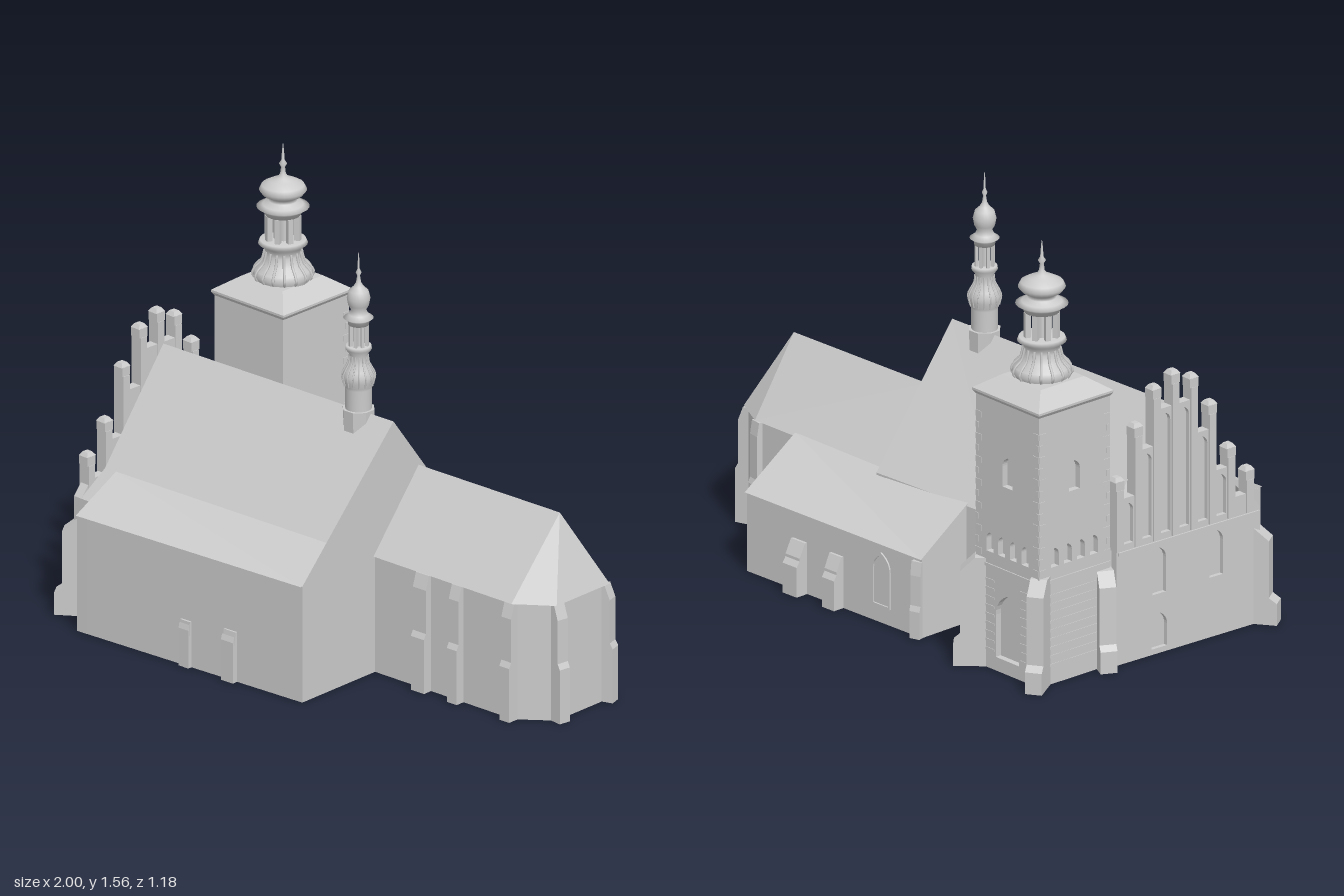
import * as THREE from 'three';

const smooth = new THREE.MeshStandardMaterial({ color: 0xcccccc, side: THREE.DoubleSide });
const flat = new THREE.MeshStandardMaterial({ color: 0xcccccc, side: THREE.DoubleSide, flatShading: true });

function add(parent, name, geo, x = 0, y = 0, z = 0, ry = 0, mat = flat) {
  const m = new THREE.Mesh(geo, mat);
  m.name = name;
  m.position.set(x, y, z);
  m.rotation.y = ry;
  parent.add(m);
  return m;
}
function group(parent, name, x = 0, y = 0, z = 0, ry = 0) {
  const g = new THREE.Group();
  g.name = name;
  g.position.set(x, y, z);
  g.rotation.y = ry;
  parent.add(g);
  return g;
}
const box = (w, h, d) => new THREE.BoxGeometry(w, h, d);
const extrude = (shape, depth) => new THREE.ExtrudeGeometry(shape, { depth, bevelEnabled: false, curveSegments: 6 });
const shapeOf = pts => new THREE.Shape(pts.map(p => new THREE.Vector2(p[0], p[1])));

// Pointed arch outline: centre x, sill y, width, total height
function arch(x, y, w, h) {
  const p = new THREE.Path(), s = y + h - w * 0.7;
  p.moveTo(x - w / 2, y);
  p.lineTo(x + w / 2, y);
  p.lineTo(x + w / 2, s);
  p.quadraticCurveTo(x + w / 2, s + w * 0.45, x, y + h);
  p.quadraticCurveTo(x - w / 2, s + w * 0.45, x - w / 2, s);
  p.closePath();
  return p;
}
// Upright slab with arched openings
function panel(pts, holes, depth) {
  const s = shapeOf(pts);
  s.holes = holes.map(h => arch(...h));
  return extrude(s, depth);
}
const rect = (w, h) => [[-w / 2, 0], [w / 2, 0], [w / 2, h], [-w / 2, h]];

// Wall on piers: arched openings that reach the ground
function arcade(w, h, centres, ow, oh, depth) {
  const pts = [new THREE.Vector2(-w / 2, 0)];
  for (const c of centres) pts.push(...arch(c, 0, ow, oh).getPoints(6).reverse().slice(0, -1));
  pts.push(new THREE.Vector2(w / 2, 0), new THREE.Vector2(w / 2, h), new THREE.Vector2(-w / 2, h));
  return extrude(new THREE.Shape(pts), depth);
}

// Surfaces from planar polygons, each fanned into triangles
function faces(polys) {
  const v = [];
  for (const p of polys)
    for (let i = 1; i < p.length - 1; i++) v.push(...p[0], ...p[i], ...p[i + 1]);
  const g = new THREE.BufferGeometry();
  g.setAttribute('position', new THREE.Float32BufferAttribute(v, 3));
  g.computeVertexNormals();
  return g;
}
// Hollow walls inside a plan outline of [x, z] points, with a ceiling
function walls(parent, name, plan, h, t = 0.045) {
  const g = group(parent, name);
  plan.forEach(([x0, z0], i) => {
    const [x1, z1] = plan[(i + 1) % plan.length];
    const L = Math.hypot(x1 - x0, z1 - z0), nx = -(z1 - z0) / L, nz = (x1 - x0) / L;
    add(g, 'wall', box(L, h, t), (x0 + x1) / 2 + nx * t / 2, h / 2, (z0 + z1) / 2 + nz * t / 2, -Math.atan2(z1 - z0, x1 - x0));
  });
  const c = new THREE.ShapeGeometry(shapeOf(plan.map(([x, z]) => [x, -z]))).rotateX(-Math.PI / 2);
  add(g, 'ceiling', c, 0, h - 0.01, 0);
}
// Stepped buttress projecting from (x, z) towards (dx, dz)
function buttress(parent, x, z, dx, dz, w, D, step, top) {
  const d = D * 0.72;
  const s = shapeOf([[-0.04, 0], [D, 0], [D, step], [d, step + 0.02], [d, top - 0.05], [0.01, top], [-0.04, top]]);
  add(parent, 'buttress', extrude(s, w).translate(0, 0, -w / 2), x, 0, z, Math.atan2(-dz, dx));
}
const lathe = (pts, n = 24) => new THREE.LatheGeometry(pts.map(p => new THREE.Vector2(p[0], p[1])), n);

// Lantern spire: ribbed bulb, ring of columns, onion and finial
function spire(parent, name, x, z, lower, upper, ribs, cols) {
  const g = group(parent, name, x, 0, z);
  add(g, 'ribbedBulb', lathe(lower), 0, 0, 0, 0, smooth);
  add(g, 'onionAndFinial', lathe(upper), 0, 0, 0, 0, smooth);
  const [y0, y1, r] = cols;
  add(g, 'lanternCore', new THREE.CylinderGeometry(r * 0.5, r * 0.5, y1 - y0, 8), 0, (y0 + y1) / 2, 0);
  for (let i = 0; i < 8; i++) {
    const a = (i + 0.5) * Math.PI / 4;
    add(g, 'lanternColumn', box(r * 0.3, y1 - y0, r * 0.3), r * 0.84 * Math.cos(a), (y0 + y1) / 2, r * 0.84 * Math.sin(a), -a);
  }
  const curve = new THREE.CatmullRomCurve3(ribs.map(([q, y]) => new THREE.Vector3(q, y, 0)));
  const rib = new THREE.TubeGeometry(curve, 10, r * 0.08, 5);
  for (let i = 0; i < 16; i++) add(g, 'bulbRib', rib, 0, 0, 0, i * Math.PI / 8, smooth);
}

export function createModel() {
  const model = new THREE.Group();
  model.name = 'church';

  // Nave with south aisle
  walls(model, 'naveWalls', [[0.2, 0.55], [-0.81, 0.58], [-0.81, 0.46], [-0.9, 0.46], [-0.86, -0.19], [-0.53, -0.19],
    [-0.5, -0.25], [-0.4, -0.27], [0.2, -0.28]], 0.43);
  const W = [-0.86, 0.9, 0.08], E = [0.2, 0.9, 0.08];
  add(model, 'naveRoof', faces([
    [W, [-0.86, 0.53, 0.38], [0.2, 0.53, 0.38], E],
    [[-0.86, 0.53, 0.38], [-0.9, 0.43, 0.46], [-0.81, 0.43, 0.46], [-0.81, 0.53, 0.38]],
    [[-0.81, 0.53, 0.38], [-0.81, 0.43, 0.588], [0.2, 0.43, 0.557], [0.2, 0.53, 0.38]],
    [[-0.81, 0.53, 0.38], [-0.81, 0.43, 0.46], [-0.81, 0.43, 0.588]],
    [E, [0.2, 0.43, -0.28], [-0.4, 0.43, -0.27], [-0.53, 0.47, -0.24], [-0.56, 0.55, -0.18], [-0.86, 0.55, -0.18], W],
    [E, [0.2, 0.53, 0.38], [0.2, 0.43, 0.55], [0.2, 0.43, -0.28]],
  ]));
  add(model, 'aisleArcade', arcade(1.0, 0.42, [-0.33, 0, 0.33], 0.25, 0.36, 0.05), -0.31, 0, 0.36);
  add(model, 'chancelArch', arcade(0.4, 0.42, [0], 0.26, 0.38, 0.05), 0.1, 0, -0.03, Math.PI / 2);
  for (const x of [-0.5, -0.16]) {
    add(model, 'aisleTransverseArch', arcade(0.15, 0.42, [0], 0.1, 0.32, 0.04), x, 0, 0.47, Math.PI / 2);
    add(model, 'naveTransverseArch', arcade(0.58, 0.42, [0], 0.42, 0.39, 0.04), x, 0, 0.07, Math.PI / 2);
  }
  buttress(model, -0.32, 0.563, 0, 1, 0.045, 0.018, 0.14, 0.17);
  buttress(model, -0.12, 0.556, 0, 1, 0.055, 0.025, 0.15, 0.185);

  // Choir with polygonal apse
  const plan = [[0.2, -0.25], [0.84, -0.24], [0.96, -0.17], [0.96, 0.09], [0.84, 0.18], [0.2, 0.175]];
  walls(model, 'choirWalls', plan, 0.43);
  const eave = plan.map(([x, z]) => [x + (x > 0.9 ? 0.008 : 0), 0.43, z + (z > 0 ? 0.008 : -0.005)]);
  const A = [0.85, 0.7, -0.05], B = [0.19, 0.7, -0.05];
  add(model, 'choirRoof', faces([[B, A, eave[1], eave[0]], [A, eave[2], eave[1]], [A, eave[3], eave[2]],
    [A, eave[4], eave[3]], [A, B, eave[5], eave[4]]]));
  for (const [x, w] of [[0.43, 0.06], [0.588, 0.045], [0.83, 0.045]]) buttress(model, x, 0.178, 0, 1, w, 0.036, 0.2, 0.43);
  buttress(model, 0.955, 0.08, 1, 0.15, 0.045, 0.04, 0.2, 0.43);
  buttress(model, 0.955, -0.165, 1, -0.3, 0.045, 0.04, 0.2, 0.43);
  buttress(model, 0.83, -0.24, 0.2, -1, 0.045, 0.025, 0.2, 0.43);

  // North sacristy under a lean-to roof
  walls(model, 'sacristyWalls', [[-0.24, -0.485], [0.63, -0.485], [0.64, -0.24], [-0.24, -0.26]], 0.29);
  const s = [[-0.24, 0.29, -0.49], [0.635, 0.29, -0.49], [0.645, 0.44, -0.24], [-0.24, 0.44, -0.265]];
  add(model, 'sacristyRoof', faces([s, [s[0], s[3], [-0.24, 0.29, -0.265]], [s[1], s[2], [0.64, 0.29, -0.24]]]));
  for (const x of [0.08, 0.3]) add(model, 'sacristyPartition', arcade(0.2, 0.28, [0], 0.09, 0.2, 0.04), x, 0, -0.375, Math.PI / 2);
  buttress(model, 0.18, -0.485, 0, -1, 0.06, 0.045, 0.11, 0.19);
  buttress(model, 0.365, -0.485, 0, -1, 0.07, 0.05, 0.11, 0.19);
  buttress(model, -0.22, -0.485, -0.3, -1, 0.04, 0.025, 0.1, 0.28);
  const frame = new THREE.Shape(arch(0, 0, 0.09, 0.2).getPoints(6));
  frame.holes = [arch(0, 0.008, 0.074, 0.182)];
  add(model, 'sacristyWindowFrame', extrude(frame, 0.008), -0.04, 0.06, -0.491);

  // Stepped west gable; local x runs south along the front
  const west = group(model, 'westGable', -0.895, 0, 0.14, -(Math.PI / 2 + 0.07));
  const pier = i => 0.083 * i - 0.06;
  const tops = [1.02, 0.985, 0.865, 0.685, 0.58], step = [0.9, 0.77, 0.61, 0.49];
  const prof = [[0.32, 0], [-0.32, 0], [-0.32, 0.49]];
  const niches = [];
  for (let i = -3; i < 4; i++) {
    const h = step[i < 0 ? -i - 1 : i];
    prof.push([pier(i), h], [pier(i + 1), h]);
    niches.push([pier(i) + 0.0415, 0.44, 0.042, h - 0.46]);
  }
  prof.push([0.32, 0.43]);
  const openings = [[-0.13, 0.22, 0.06, 0.17], [-0.13, 0.02, 0.07, 0.13], [0.125, 0.22, 0.06, 0.17]];
  add(west, 'gableFront', panel(prof, niches.filter(n => n[3] > 0.06).concat(openings), 0.016));
  add(west, 'gableBack', panel(prof, [], 0.02), 0, 0, -0.02);
  add(west, 'stringCourse', box(0.63, 0.012, 0.012), 0, 0.41, 0.016);
  for (let i = -3; i <= 4; i++) {
    const h = tops[Math.abs(i)], x = pier(i), y0 = 0.42;
    add(west, 'gablePier', box(0.03, h - 0.04 - y0, 0.046), x, (h - 0.04 + y0) / 2, 0);
    add(west, 'pinnacleHead', box(0.038, 0.034, 0.042), x, h - 0.023, 0);
    add(west, 'pinnacleCap', new THREE.CylinderGeometry(0.016, 0.03, 0.014, 4).rotateY(Math.PI / 4), x, h, 0);
  }
  buttress(model, -0.9, 0.445, -1, 0.65, 0.06, 0.1, 0.08, 0.36);
  buttress(model, -0.87, -0.22, -1, -0.55, 0.06, 0.06, 0.08, 0.36);

  // Bell tower
  const tower = group(model, 'bellTower', -0.697, 0, -0.348, -0.035);
  const ornate = [[0, 0.69, 0.05, 0.11]];
  for (let j = 0; j < 4; j++) ornate.push([(j - 1.5) * 0.06, 0.43, 0.036, 0.07]);
  const portal = [0, 0.05, 0.12, 0.24];
  for (let k = 0; k < 4; k++) {
    const side = group(tower, 'towerSide', 0, 0, 0, k * Math.PI / 2);
    add(side, 'towerWall', panel(rect(0.326, 1.01), [[], [], [...ornate, portal], ornate][k], 0.023), 0, 0, 0.14);
    add(side, 'towerInnerWall', box(0.28, 1, 0.02), 0, 0.5, 0.13);
    const corners = [[], [1], [-1, 1], [-1, 1]][k];
    for (let i = 0; i < 13; i++) {
      const w = i % 2 ? 0.016 : 0.03;
      for (const m of corners) add(side, 'quoin', box(w, 0.022, 0.004), m * (0.163 - w / 2), 0.42 + i * 0.042, 0.163);
    }
    if (k < 2) continue;
    // Brick courses: beside the north portal, across the whole west face
    add(side, 'towerLedge', box(0.33, 0.012, 0.008), 0, 0.38, 0.163);
    const runs = k === 2 ? [[-0.1, 0.065], [0.1, 0.065]] : [[0, 0.25]];
    for (let i = 0; i < 9; i++)
      for (const [x, w] of runs) add(side, 'brickCourse', box(w, 0.009, 0.004), x, 0.07 + i * 0.032, 0.163);
  }
  const square = [[0.163, 0.995], [0.172, 1.008], [0.172, 1.016], [0.1, 1.066], [0, 1.066]].map(([r, y]) => [r * Math.SQRT2, y]);
  add(tower, 'towerRoof', lathe(square, 4).rotateY(Math.PI / 4));
  buttress(model, -0.845, -0.505, -0.5, -0.85, 0.06, 0.08, 0.08, 0.4);
  buttress(model, -0.54, -0.505, 0.72, -0.68, 0.06, 0.085, 0.08, 0.4);

  // Spires
  spire(model, 'towerSpire', -0.687, -0.343,
    [[0.095, 1.05], [0.097, 1.068], [0.105, 1.082], [0.098, 1.1], [0.074, 1.125], [0.062, 1.155], [0.064, 1.18], [0.086, 1.194], [0.08, 1.208], [0, 1.212]],
    [[0, 1.3], [0.062, 1.3], [0.068, 1.315], [0.092, 1.33], [0.07, 1.338], [0.05, 1.352], [0.045, 1.362], [0.07, 1.375], [0.083, 1.392],
      [0.074, 1.41], [0.045, 1.426], [0.02, 1.436], [0.01, 1.45], [0.007, 1.475], [0.014, 1.487], [0.006, 1.5], [0.004, 1.53], [0.001, 1.56]],
    [[0.097, 1.068], [0.106, 1.083], [0.098, 1.102], [0.075, 1.127], [0.063, 1.17]], [1.21, 1.3, 0.064]);
  spire(model, 'ridgeTurret', 0.042, 0.083,
    [[0.046, 0.86], [0.046, 0.985], [0.05, 0.995], [0.054, 1.015], [0.057, 1.035], [0.048, 1.055], [0.035, 1.08], [0.032, 1.112], [0.046, 1.13], [0.044, 1.143], [0, 1.144]],
    [[0, 1.22], [0.036, 1.22], [0.038, 1.235], [0.052, 1.245], [0.034, 1.258], [0.026, 1.275], [0.036, 1.292], [0.041, 1.318], [0.034, 1.345],
      [0.018, 1.36], [0.009, 1.375], [0.005, 1.4], [0.01, 1.412], [0.004, 1.425], [0.003, 1.455], [0.001, 1.485]],
    [[0.051, 0.998], [0.058, 1.035], [0.049, 1.056], [0.036, 1.081], [0.033, 1.108]], [1.143, 1.22, 0.036]);
  add(model, 'turretBase', new THREE.CylinderGeometry(0.058, 0.054, 0.1, 8), 0.042, 0.86, 0.083, Math.PI / 8);

  return model;
}
